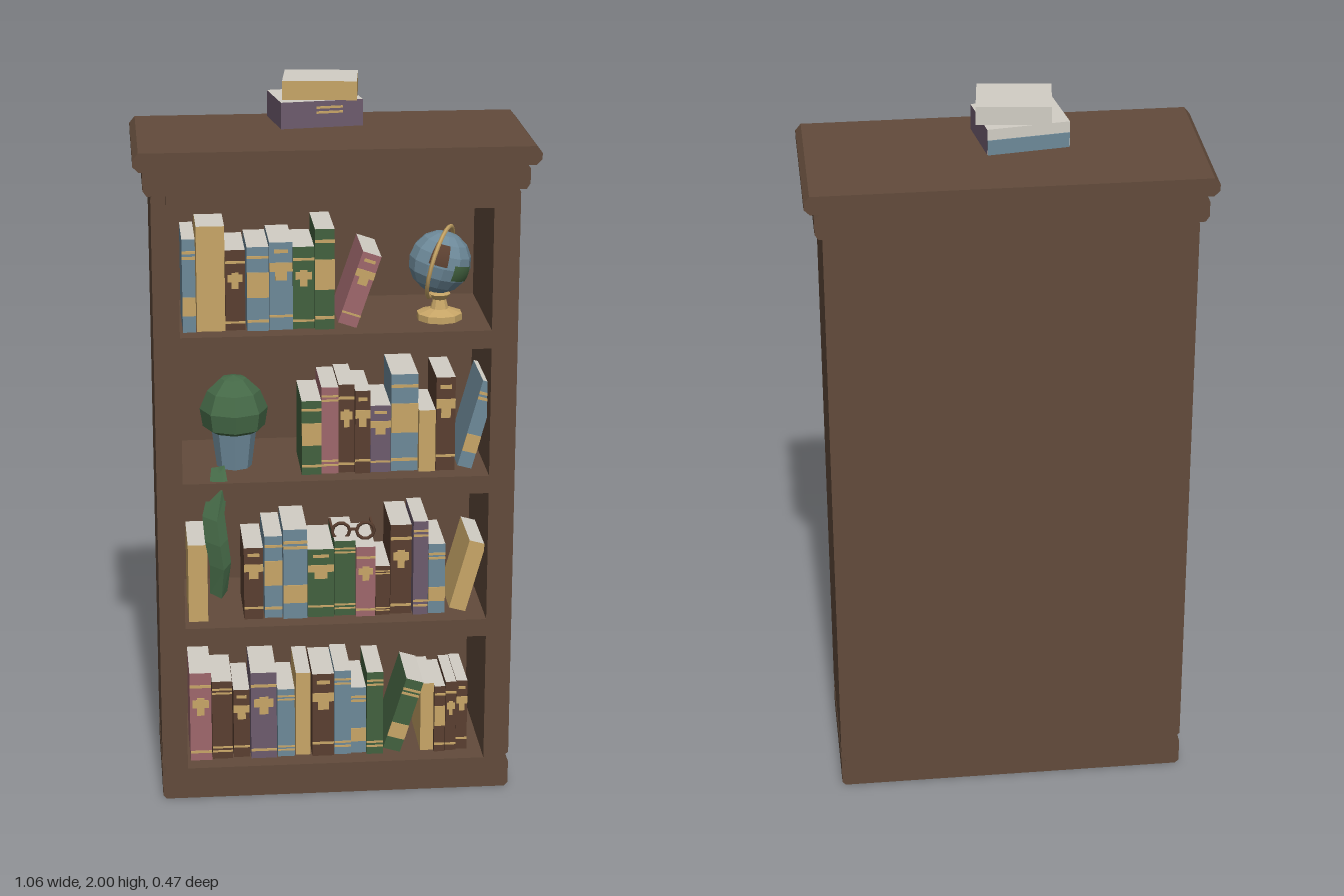
import * as THREE from 'three';

const mat = (name, color, side = THREE.FrontSide) => {
  const m = new THREE.MeshStandardMaterial({ color, side });
  m.name = name;
  return m;
};

export function createModel() {
  const root = new THREE.Group();
  root.name = 'bookcase';
  const wood = mat('wood', 0x624b3b), gold = mat('gold', 0xc8a667), pages = mat('pages', 0xd2cec5);
  const cover = {
    y: gold, n: mat('brownLeather', 0x5a3f30), b: mat('blue', 0x6d8999), g: mat('green', 0x42613f),
    p: mat('pink', 0x9e676c), v: mat('violet', 0x6d5b6d),
  };
  const leaf = mat('leafGreen', 0x456947, THREE.DoubleSide);

  const add = (name, geo, material, parent = root, x = 0, y = 0, z = 0) => {
    const m = new THREE.Mesh(geo, material);
    m.name = name;
    m.position.set(x, y, z);
    parent.add(m);
    return m;
  };
  const box = (name, w, h, d, material, parent, x, y, z) =>
    add(name, new THREE.BoxGeometry(w, h, d), material, parent, x, y, z);
  const flat = (geo) => {
    const g = geo.index ? geo.toNonIndexed() : geo;
    g.computeVertexNormals();
    return g;
  };
  // Symmetric outline from right-hand points, extruded from z0 to z1
  const slab = (name, pts, z0, z1, holes = []) => {
    const left = pts.map(([x, y]) => [-x, y]).reverse();
    const s = new THREE.Shape([...pts, ...left].map(([x, y]) => new THREE.Vector2(x, y)));
    for (const [a, b] of holes) {
      s.holes.push(new THREE.Path([[-0.415, a], [-0.415, b], [0.415, b], [0.415, a]]
        .map(([x, y]) => new THREE.Vector2(x, y))));
    }
    const geo = new THREE.ExtrudeGeometry(s, { depth: z1 - z0, bevelEnabled: false });
    return add(name, geo, wood, root, 0, 0, z0);
  };

  // Cabinet with four open bays
  const body = [[0.475, 0], [0.485, 0.01], [0.485, 0.075], [0.475, 0.085], [0.475, 0.095],
    [0.485, 0.105], [0.485, 1.715], [0.475, 1.74]];
  slab('cabinet', body, -0.19, 0.18, [[0.09, 0.46], [0.51, 0.88], [0.93, 1.29], [1.34, 1.68]]);
  slab('backPanel', body, -0.21, -0.19);
  box('frieze', 0.89, 0.11, 0.02, wood, root, 0, 1.735, 0.19);
  slab('lowerCornice', [[0.495, 1.73], [0.505, 1.745], [0.505, 1.785], [0.49, 1.8]], -0.233, 0.206);
  slab('topCornice', [[0.515, 1.8], [0.53, 1.815], [0.53, 1.832], [0.515, 1.85]], -0.233, 0.235);

  // Spine decoration: [height fraction, width fraction, thickness fraction] per pattern
  const patterns = {
    o: [],
    l: [[0.1, 1, 0.02], [0.15, 1, 0.02], [0.85, 1, 0.02], [0.9, 1, 0.02]],
    w: [[0.12, 1, 0.03], [0.55, 1, 0.3], [0.88, 1, 0.03]],
    e: [[0.1, 1, 0.025], [0.62, 0.35, 0.2], [0.65, 0.75, 0.09], [0.85, 1, 0.03]],
    h: [[0.16, 1, 0.025], [0.72, 1, 0.1], [0.62, 0.5, 0.1], [0.9, 0.6, 0.04]],
    k: [[0.28, 1, 0.2], [0.8, 1, 0.03], [0.86, 1, 0.03]],
  };
  // Book: origin at the bottom right corner of the spine
  const book = (c, w, h, d, pattern, parent, x, y, z, lean = 0) => {
    const g = new THREE.Group();
    g.name = 'book';
    g.position.set(x, y, z);
    g.rotation.z = -lean;
    parent.add(g);
    const m = cover[c];
    box('cover', w, h, d, [m, m, pages, m, m, pages], g, -w / 2, h / 2, -d / 2);
    for (const [at, pw, ph] of patterns[pattern])
      box('spineBand', w * pw, h * ph, 0.004, gold, g, -w / 2, h * at, 0.001);
    return g;
  };

  // Rows of [colour, left x, right x, height, pattern, lean]
  const rows = [
    ['bottomRow', 0.09, [
      ['p', -0.405, -0.345, 0.265, 'e'], ['n', -0.343, -0.287, 0.235, 'l'], ['n', -0.283, -0.238, 0.205, 'h'],
      ['v', -0.235, -0.163, 0.26, 'e'], ['b', -0.16, -0.112, 0.205, 'l'], ['y', -0.108, -0.067, 0.25, 'o'],
      ['n', -0.063, -0.002, 0.25, 'h'], ['b', 0, 0.046, 0.255, 'l'], ['b', 0.047, 0.089, 0.2, 'k'],
      ['g', 0.09, 0.136, 0.25, 'l'], ['g', 0.135, 0.185, 0.22, 'k', 0.3], ['y', 0.243, 0.28, 0.205, 'o'],
      ['n', 0.281, 0.311, 0.2, 'w'], ['n', 0.313, 0.343, 0.21, 'e'], ['n', 0.344, 0.375, 0.21, 'h']]],
    ['lowerRow', 0.51, [
      ['y', -0.403, -0.35, 0.225, 'o'], ['n', -0.25, -0.197, 0.21, 'h'], ['b', -0.193, -0.144, 0.24, 'w'],
      ['b', -0.142, -0.076, 0.262, 'k'], ['g', -0.074, -0.002, 0.2, 'h'], ['g', 0, 0.058, 0.22, 'l'],
      ['p', 0.059, 0.112, 0.205, 'e'], ['n', 0.113, 0.153, 0.145, 'l'], ['n', 0.155, 0.213, 0.262, 'e'],
      ['v', 0.217, 0.258, 0.275, 'l'], ['b', 0.26, 0.306, 0.205, 'k'], ['y', 0.318, 0.365, 0.205, 'o', 0.27]]],
    ['upperRow', 0.93, [
      ['g', -0.09, -0.037, 0.21, 'w'], ['p', -0.036, 0.01, 0.245, 'l'], ['n', 0.011, 0.054, 0.25, 'e'],
      ['n', 0.055, 0.096, 0.235, 'h'], ['v', 0.097, 0.152, 0.19, 'h'], ['b', 0.154, 0.227, 0.275, 'w'],
      ['y', 0.229, 0.274, 0.175, 'o'], ['n', 0.276, 0.328, 0.265, 'h'], ['b', 0.335, 0.375, 0.25, 'k', 0.27]]],
    ['topRow', 1.34, [
      ['b', -0.405, -0.37, 0.255, 'k'], ['y', -0.367, -0.292, 0.287, 'o'], ['n', -0.291, -0.238, 0.22, 'e'],
      ['b', -0.234, -0.176, 0.23, 'w'], ['b', -0.174, -0.112, 0.24, 'h'], ['g', -0.111, -0.054, 0.225, 'e'],
      ['g', -0.053, -0.001, 0.275, 'w'], ['p', 0.006, 0.058, 0.205, 'h', 0.33]]],
  ];
  for (const [name, floor, list] of rows) {
    const row = new THREE.Group();
    row.name = name;
    root.add(row);
    list.forEach(([c, x0, x1, h, pattern, lean = 0], i) =>
      book(c, x1 - x0, h, 0.19, pattern, row, x1, floor, 0.13 - 0.006 * (i % 3), lean));
  }

  // Two books lying above the cabinet
  const lying = (name, c, w, h, d, x, y, z, turn) => {
    const g = new THREE.Group();
    g.name = name;
    g.position.set(x, y, z);
    g.rotation.y = turn;
    root.add(g);
    book(c, w, h, d, 'o', g, w / 2, 0, d / 2);
    return g;
  };
  const low = lying('lowerLyingBook', 'v', 0.219, 0.07, 0.175, -0.044, 1.88, 0.01, 0.147);
  box('lyingBand', 0.07, 0.006, 0.004, gold, low, 0.02, 0.04, 0.088);
  box('lyingBand', 0.07, 0.006, 0.004, gold, low, 0.02, 0.053, 0.088);
  box('lyingBackStrip', 0.217, 0.04, 0.004, cover.b, low, 0, 0.02, -0.088);
  lying('upperLyingBook', 'y', 0.195, 0.05, 0.157, -0.028, 1.95, 0.008, -0.117);

  // Spectacles resting on the books
  const specs = new THREE.Group();
  specs.name = 'spectacles';
  specs.position.set(0.055, 0.745, 0.08);
  root.add(specs);
  for (const s of [-1, 1]) {
    add('rim', new THREE.TorusGeometry(0.024, 0.005, 5, 10), cover.n, specs, s * 0.034);
    box('temple', 0.006, 0.006, 0.1, cover.n, specs, s * 0.057, 0, -0.05);
  }
  box('bridge', 0.02, 0.006, 0.006, cover.n, specs, 0, 0.005, 0);

  // Potted cactus
  const lathe = (pts, n) => flat(new THREE.LatheGeometry(pts.map(([x, y]) => new THREE.Vector2(x, y)), n));
  const plant = new THREE.Group();
  plant.name = 'pottedPlant';
  plant.position.set(-0.268, 0.93, 0.03);
  root.add(plant);
  add('pot', lathe([[0, 0], [0.048, 0], [0.062, 0.11], [0.07, 0.12], [0.07, 0.145], [0, 0.145]], 8), cover.b, plant);
  add('cactus', lathe([[0.04, 0.09], [0.085, 0.115], [0.093, 0.165], [0.072, 0.215], [0.035, 0.25], [0, 0.258]], 8),
    leaf, plant);

  // Trailing leaf over the shelf edge: [x, y, ridge z, half width]
  const ribs = [[-0.318, 0.962, 0.155, 0.018], [-0.318, 0.92, 0.182, 0.025], [-0.334, 0.84, 0.2, 0.03],
    [-0.327, 0.77, 0.207, 0.031], [-0.317, 0.7, 0.204, 0.029], [-0.322, 0.61, 0.184, 0.024]];
  const pos = [], idx = [];
  ribs.forEach(([x, y, z, w], i) => {
    pos.push(x - w, y, z - 0.014, x + w * 0.3, y - 0.012, z, x + w, y + 0.006, z - 0.014, x, y, z - 0.02);
    if (i) for (let k = 0; k < 4; k++) {
      const a = (i - 1) * 4 + k, b = (i - 1) * 4 + (k + 1) % 4;
      idx.push(a, a + 4, b, b, a + 4, b + 4);
    }
  });
  const trail = new THREE.BufferGeometry();
  trail.setAttribute('position', new THREE.Float32BufferAttribute(pos, 3));
  trail.setIndex(idx);
  add('trailingLeaf', flat(trail), leaf);

  // Globe on a stand
  const globe = new THREE.Group();
  globe.name = 'globe';
  globe.position.set(0.29, 1.34, 0.05);
  root.add(globe);
  add('stand', lathe([[0, 0], [0.062, 0], [0.062, 0.018], [0.025, 0.03], [0.018, 0.055], [0.03, 0.07], [0, 0.075]], 10),
    gold, globe);
  const ball = new THREE.Group();
  ball.position.y = 0.158;
  ball.rotation.z = -0.25;
  globe.add(ball);
  add('ocean', flat(new THREE.SphereGeometry(0.085, 12, 8)), cover.b, ball);
  const lands = [[1.05, 0.6, 0.8, 0.7, cover.n], [1.9, 0.7, 1.4, 0.5, cover.g], [3.2, 1, 0.7, 0.9, cover.n],
    [4.6, 1.1, 0.8, 0.8, cover.g]];
  for (const [a, da, t, dt, m] of lands)
    add('land', new THREE.SphereGeometry(0.087, 4, 4, a, da, t, dt), m, ball);
  const ring = add('meridianRing', new THREE.TorusGeometry(0.1, 0.006, 5, 20), gold, ball);
  ring.rotation.y = 1.2;

  return root;
}
